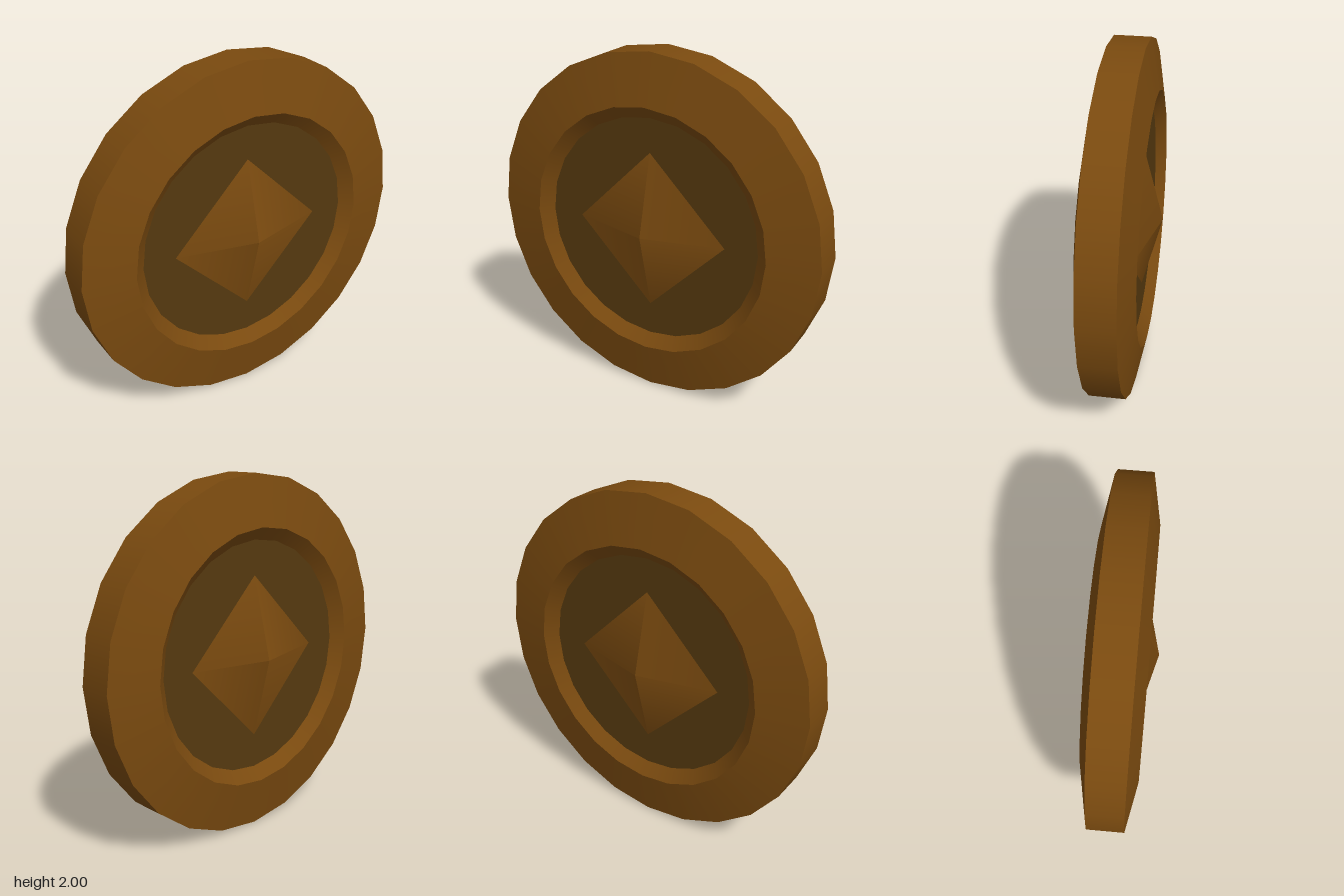
import * as THREE from 'three';

const SIDES = 24;
const FLOOR = 0.095; // half thickness at the recessed face

export function createModel() {
  const bronze = new THREE.MeshStandardMaterial({ color: 0x7a4a0f });
  bronze.name = 'bronze';
  const darkBronze = new THREE.MeshStandardMaterial({ color: 0x55390f });
  darkBronze.name = 'dark bronze';

  const coin = new THREE.Group();
  coin.name = 'coin';

  const add = (name, geometry, material, parent) => {
    const mesh = new THREE.Mesh(geometry, material);
    mesh.name = name;
    parent.add(mesh);
  };

  // One turned band between two profile points [radius, z], smooth around and sharp at its edges
  const band = (a, b) => {
    const points = [new THREE.Vector2(...a), new THREE.Vector2(...b)];
    return new THREE.LatheGeometry(points, SIDES).rotateX(Math.PI / 2);
  };

  // Outer edge
  add('edge', band([1, -0.1], [1, 0.1]), bronze, coin);

  // The two matching faces
  for (const [name, turn] of [['frontFace', 0], ['backFace', Math.PI]]) {
    const face = new THREE.Group();
    face.name = name;
    face.rotation.y = turn;
    add('slopedRim', band([1, 0.1], [0.72, 0.155]), bronze, face);
    add('recessWall', band([0.72, 0.155], [0.65, FLOOR]), bronze, face);
    add('recessFloor', band([0.65, FLOOR], [0, FLOOR]), darkBronze, face);

    // Raised diamond: a low four-sided pyramid with softened shading
    const height = 0.21 - FLOOR;
    const diamond = new THREE.ConeGeometry(0.457, height, 4, 1, true);
    diamond.rotateX(Math.PI / 2).translate(0, 0, FLOOR + height / 2);
    add('diamond', diamond, bronze, face);
    coin.add(face);
  }

  coin.position.y = 1;
  const model = new THREE.Group();
  model.name = 'model';
  model.add(coin);
  return model;
}
